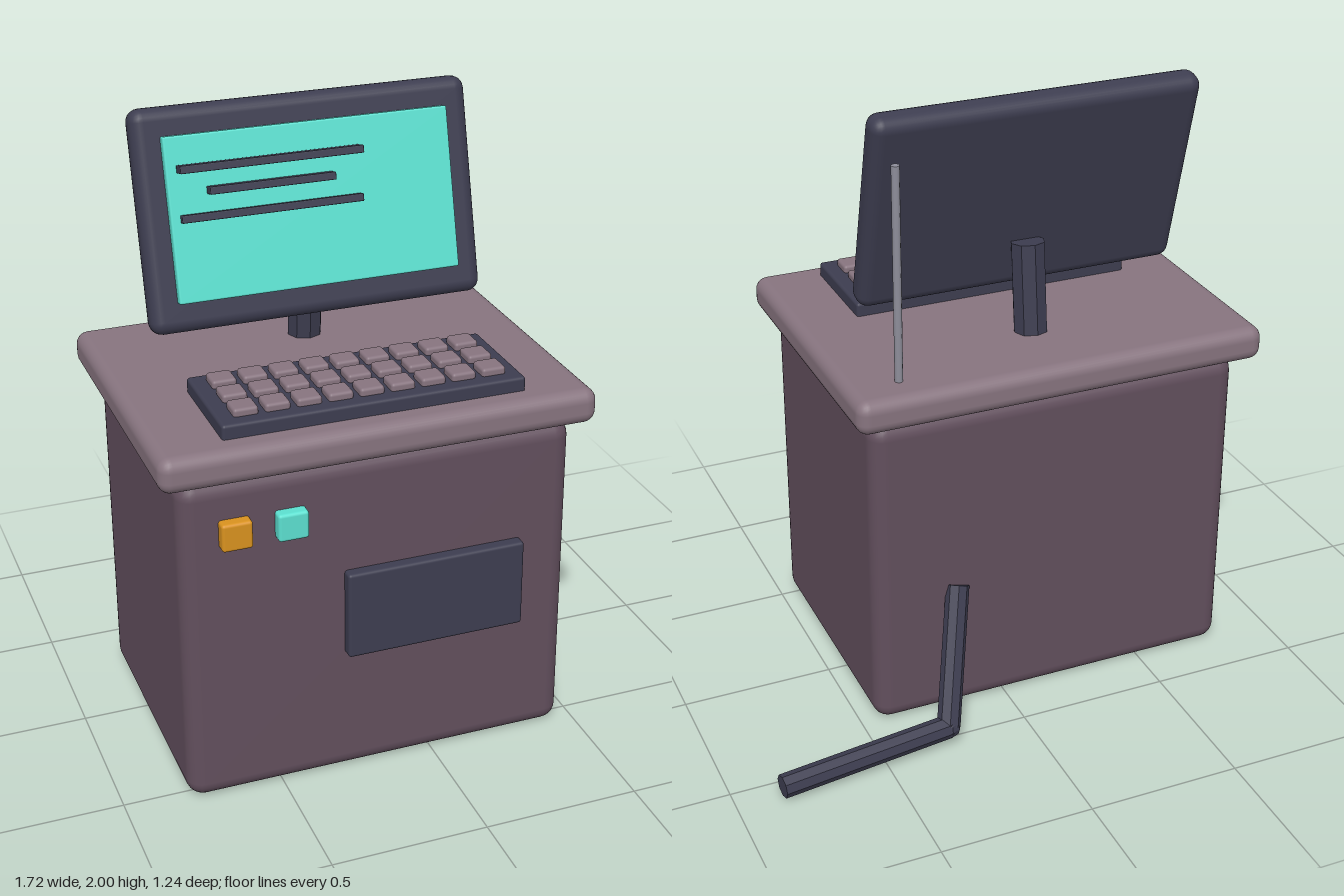
import * as THREE from 'three';
import { RoundedBoxGeometry } from 'three/addons/geometries/RoundedBoxGeometry.js';

const paint = (name, color) => {
  const m = new THREE.MeshStandardMaterial({ color });
  m.name = name;
  return m;
};

export function createModel() {
  const plum = paint('plum', 0x624f5d);
  const mauve = paint('mauve', 0x87747f);
  const navy = paint('dark navy', 0x3d3d50);
  const teal = paint('teal', 0x5ce0d0);
  const amber = paint('amber', 0xd9921f);
  const metal = paint('grey metal', 0x8e8e9a);
  const navyFacet = paint('faceted navy', 0x3d3d50);
  navyFacet.flatShading = true;

  const model = new THREE.Group();
  model.name = 'computerTerminal';

  const box = (name, size, pos, radius, material, parent = model) => {
    const mesh = new THREE.Mesh(new RoundedBoxGeometry(...size, 3, radius), material);
    mesh.name = name;
    mesh.position.set(...pos);
    parent.add(mesh);
    return mesh;
  };

  // Cylinder between two points
  const rod = (name, from, to, radius, sides, material) => {
    const a = new THREE.Vector3(...from), b = new THREE.Vector3(...to);
    const dir = b.clone().sub(a);
    const mesh = new THREE.Mesh(new THREE.CylinderGeometry(radius, radius, dir.length(), sides), material);
    mesh.name = name;
    mesh.position.copy(a).add(b).multiplyScalar(0.5);
    mesh.quaternion.setFromUnitVectors(new THREE.Vector3(0, 1, 0), dir.normalize());
    model.add(mesh);
    return mesh;
  };

  // Cabinet and worktop
  box('cabinet', [1.255, 1.09, 0.915], [-0.175, 0.545, 0.107], 0.055, plum);
  box('worktop', [1.375, 0.113, 1.03], [-0.1775, 1.152, 0.105], 0.04, mauve);

  // Front panel and buttons
  box('frontPanel', [0.58, 0.29, 0.06], [-0.005, 0.575, 0.572], 0.01, navy);
  box('amberButton', [0.095, 0.09, 0.06], [-0.637, 0.921, 0.572], 0.01, amber);
  box('tealButton', [0.095, 0.09, 0.06], [-0.464, 0.921, 0.572], 0.01, teal);

  // Keyboard with three rows of nine keys
  box('keyboard', [0.955, 0.06, 0.365], [-0.178, 1.223, 0.357], 0.01, navy);
  const keys = new THREE.Group();
  keys.name = 'keys';
  model.add(keys);
  for (let row = 0; row < 3; row++) {
    for (let col = 0; col < 9; col++) {
      box('key', [0.077, 0.03, 0.077], [-0.568 + col * 0.0978, 1.262, 0.25 + row * 0.1035], 0.01, mauve, keys);
    }
  }

  // Leaning monitor and screen
  const lean = -0.25;
  const monitor = new THREE.Group();
  monitor.name = 'monitor';
  monitor.position.set(-0.1775, 1.666, -0.065);
  monitor.rotation.x = lean;
  model.add(monitor);
  box('monitorCase', [1.085, 0.685, 0.095], [0, 0, 0], 0.04, navy, monitor);
  box('screen', [0.915, 0.505, 0.035], [0, 0.003, 0.058], 0.006, teal, monitor);

  // Bars in front of the screen
  [[-0.315, 1.845, 0.58], [-0.315, 1.69, 0.58], [-0.315, 1.77, 0.4]].forEach(([x, y, width]) => {
    box('screenLine', [width, 0.024, 0.05], [x, y, 0.002], 0.003, navy).rotation.x = lean;
  });

  // Monitor stand and antenna
  rod('monitorStand', [-0.175, 1.205, -0.125], [-0.175, 1.5, -0.093], 0.056, 8, navyFacet);
  rod('antenna', [0.34, 1.18, -0.296], [0.34, 1.9, -0.296], 0.013, 10, metal);

  // Cable bent at the floor
  const bend = [0.28, 0.067, -0.53];
  rod('cableDrop', [0.17, 0.465, -0.345], bend, 0.038, 8, navyFacet);
  rod('cableRun', bend, [0.856, 0.05, -0.587], 0.038, 8, navyFacet);
  const elbow = new THREE.Mesh(new THREE.SphereGeometry(0.039, 8, 6), navyFacet);
  elbow.name = 'cableElbow';
  elbow.position.set(...bend);
  model.add(elbow);

  return model;
}
